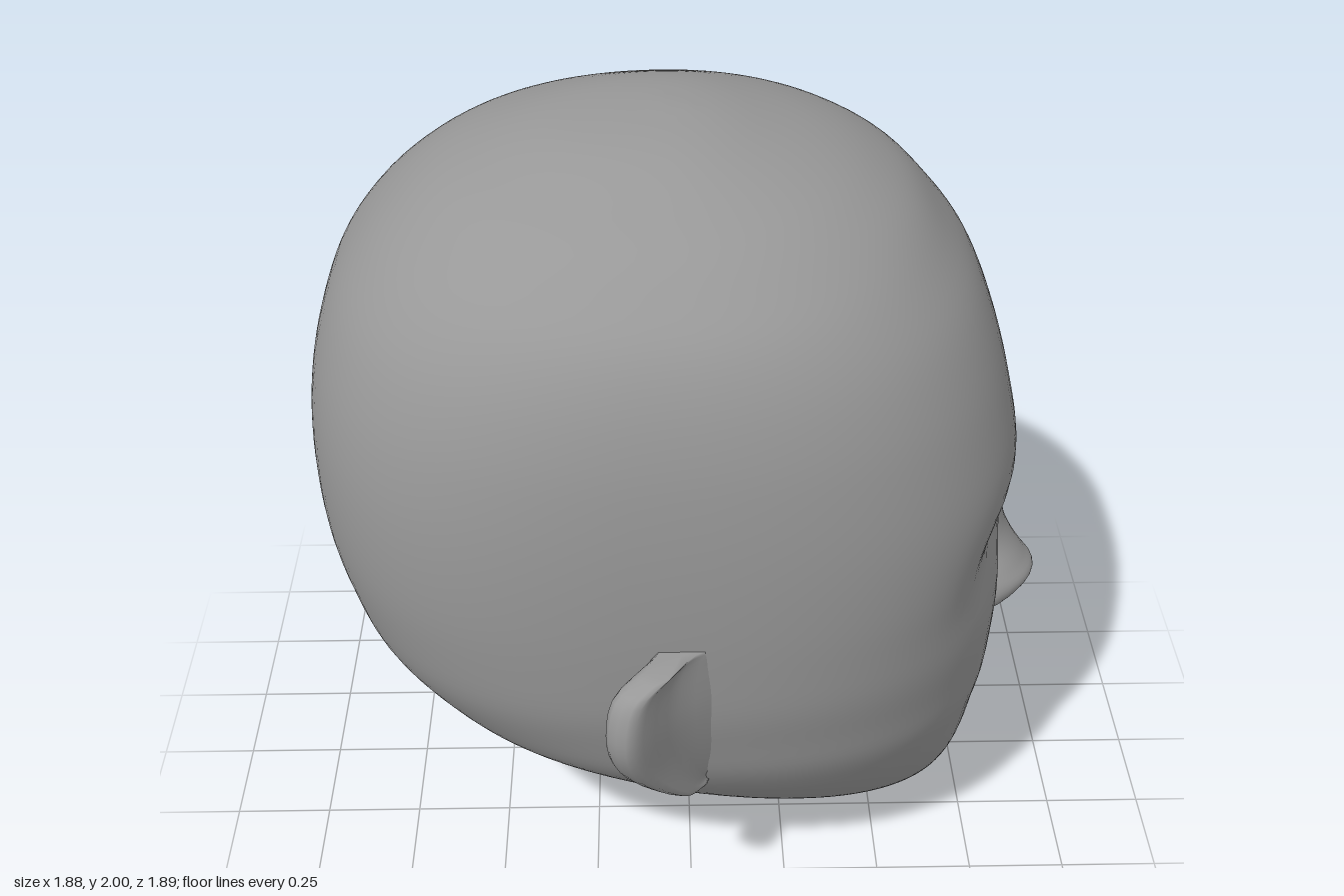
import * as THREE from 'three';

const material = new THREE.MeshStandardMaterial({ color: 0x989898, side: THREE.DoubleSide });

// Skin over closed rings stacked upwards, each running from +x towards +z, with both ends closed.
function loft(rings, name) {
  const n = rings[0].length, pos = [], index = [];
  rings.forEach(r => r.forEach(p => pos.push(p.x, p.y, p.z)));
  for (let j = 0; j < rings.length - 1; j++) {
    for (let i = 0; i < n; i++) {
      const a = j * n + i, b = j * n + (i + 1) % n;
      index.push(a, a + n, b, b, a + n, b + n);
    }
  }
  [0, rings.length - 1].forEach((j, top) => {
    const c = rings[j].reduce((s, p) => s.add(p), new THREE.Vector3()).divideScalar(n);
    const k = pos.length / 3;
    pos.push(c.x, c.y, c.z);
    for (let i = 0; i < n; i++) {
      const a = j * n + i, b = j * n + (i + 1) % n;
      if (top) index.push(a, k, b); else index.push(a, b, k);
    }
  });
  const g = new THREE.BufferGeometry();
  g.setAttribute('position', new THREE.Float32BufferAttribute(pos, 3));
  g.setIndex(index);
  g.computeVertexNormals();
  const mesh = new THREE.Mesh(g, material);
  mesh.name = name;
  return mesh;
}

const spline = pts => new THREE.CatmullRomCurve3(pts.map(p => new THREE.Vector3(...p)), false, 'catmullrom', 0.5);
const bump = (d, w) => Math.exp(-((d / w) ** 2));

// Head levels: height, back x, front x, half width
const LEVELS = [
  [0, 0.50, 0.65, 0.03], [0.02, 0.32, 0.69, 0.11], [0.05, 0.20, 0.72, 0.20], [0.1, 0.05, 0.745, 0.30],
  [0.2, -0.14, 0.77, 0.44], [0.3, -0.325, 0.785, 0.54], [0.4, -0.50, 0.795, 0.62], [0.52, -0.675, 0.81, 0.69],
  [0.62, -0.77, 0.815, 0.72], [0.74, -0.85, 0.82, 0.75], [0.87, -0.895, 0.825, 0.765], [1.0, -0.925, 0.835, 0.775],
  [1.18, -0.94, 0.83, 0.78], [1.33, -0.935, 0.80, 0.775], [1.47, -0.91, 0.76, 0.76], [1.61, -0.86, 0.70, 0.725],
  [1.72, -0.785, 0.62, 0.67], [1.81, -0.695, 0.54, 0.58], [1.87, -0.61, 0.45, 0.50], [1.92, -0.50, 0.34, 0.39],
  [1.97, -0.34, 0.17, 0.25], [1.99, -0.20, 0.08, 0.15], [2.0, -0.07, 0.0, 0.04],
];

function makeHead() {
  // Levels are joined smoothly, spaced by the distance between them
  const at = [0];
  for (let i = 1; i < LEVELS.length; i++) {
    at.push(at[i - 1] + Math.hypot(...LEVELS[i].map((v, k) => v - LEVELS[i - 1][k])));
  }
  const profile = new THREE.CubicInterpolant(at, LEVELS.flat(), 4, new Float32Array(4));
  const rows = 96, cols = 112, rings = [];
  for (let j = 0; j <= rows; j++) {
    const [y, back, front, w] = profile.evaluate(at[at.length - 1] * j / rows);
    // Widest station moves forward towards the chin; sections are squarest mid-height
    const cx = THREE.MathUtils.clamp(-0.05 + 0.65 * Math.max(0, 1 - y / 0.75) ** 2, back, front);
    const square = Math.sin(Math.PI * THREE.MathUtils.clamp(y / 2, 0, 1));
    const ring = [];
    for (let i = 0; i < cols; i++) {
      const a = (i / cols) * Math.PI * 2, c = Math.cos(a), s = Math.sin(a);
      const e = 2 / (2 + 0.62 * square);
      let x = cx + (c > 0 ? front - cx : cx - back) * Math.sign(c) * Math.abs(c) ** e;
      const z = w * Math.sign(s) * Math.abs(s) ** e;
      // Soft eye sockets under the brow, deepest beside the nose bridge
      if (c > 0) {
        const d = Math.abs(z);
        x -= 0.04 * bump(d - 0.2, 0.11) * bump(y - 0.96, 0.11) + 0.045 * bump(d - 0.38, 0.17) * bump(y - 0.96, 0.14);
      }
      ring.push(new THREE.Vector3(x, y, z));
    }
    rings.push(ring);
  }
  return loft(rings, 'head');
}

// Nose levels: projection x, height, half width
function makeNose() {
  const path = spline([
    [0.82, 0.575, 0.12], [0.87, 0.592, 0.15], [0.915, 0.625, 0.16], [0.937, 0.66, 0.155], [0.91, 0.70, 0.14],
    [0.872, 0.76, 0.11], [0.845, 0.82, 0.10], [0.83, 0.90, 0.10], [0.828, 1.0, 0.11], [0.81, 1.08, 0.11],
  ]);
  const rings = [], rows = 36, cols = 32;
  for (let j = 0; j <= rows; j++) {
    const { x: tip, y, z: w } = path.getPoint(j / rows);
    rings.push(Array.from({ length: cols }, (_, i) => {
      const a = (i / cols) * Math.PI * 2, c = Math.cos(a);
      return new THREE.Vector3(0.76 + (c > 0 ? (tip - 0.76) * c : 0.05 * c), y, w * Math.sin(a));
    }));
  }
  return loft(rings, 'nose');
}

// Ear levels: height, rear rim x z, front rim x z, root z
function makeEar(side) {
  const levels = [
    [0.49, -0.03, 0.67, 0.03, 0.70, 0.62], [0.53, -0.09, 0.74, -0.02, 0.78, 0.64],
    [0.67, -0.17, 0.85, -0.105, 0.885, 0.68], [0.80, -0.205, 0.90, -0.14, 0.94, 0.70],
    [0.93, -0.19, 0.89, -0.125, 0.925, 0.71], [0.975, -0.11, 0.84, -0.06, 0.87, 0.72],
  ];
  const rear = spline(levels.map(l => [l[1], l[0], l[2]]));
  const fore = spline(levels.map(l => [l[3], l[0], l[4]]));
  const root = spline(levels.map(l => [0, l[0], l[5]]));
  const rings = [], rows = 20;
  for (let j = 0; j <= rows; j++) {
    const t = j / rows, b = rear.getPoint(t), f = fore.getPoint(t), r = root.getPoint(t).z;
    const outline = new THREE.CatmullRomCurve3([
      new THREE.Vector3(0.12, b.y, r),
      new THREE.Vector3((f.x + 0.12) / 2 - 0.025, b.y, (f.z + r) / 2 - 0.01), // hollow of the ear
      f, b,
      new THREE.Vector3((b.x - 0.06) / 2, b.y, (b.z + r) / 2),
      new THREE.Vector3(-0.05, b.y, r),
    ], true, 'catmullrom', 0.4);
    const ring = outline.getPoints(24).slice(0, -1);
    if (side < 0) { ring.forEach(p => { p.z *= -1; }); ring.reverse(); }
    rings.push(ring);
  }
  return loft(rings, side > 0 ? 'earPositiveZ' : 'earNegativeZ');
}

export function createModel() {
  const group = new THREE.Group();
  group.name = 'headModel';
  group.add(makeHead(), makeNose(), makeEar(1), makeEar(-1));
  return group;
}
